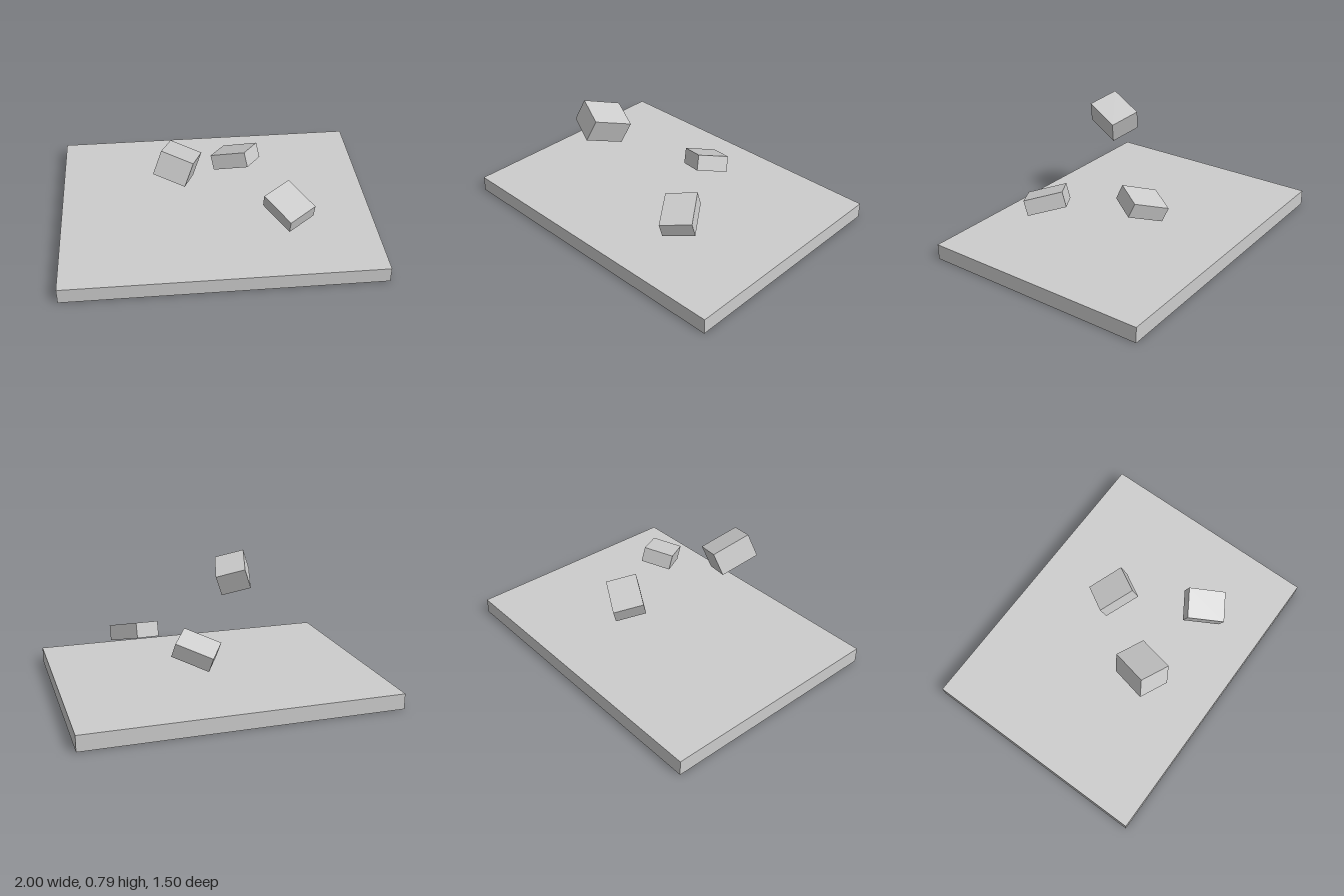
import * as THREE from 'three';

export function createModel() {
  const model = new THREE.Group();
  const grey = new THREE.MeshStandardMaterial({ color: 0xcccccc });
  grey.name = 'light grey';

  function addBox(name, size, position, rotation = [0, 0, 0]) {
    const mesh = new THREE.Mesh(new THREE.BoxGeometry(...size), grey);
    mesh.name = name;
    mesh.position.set(...position);
    mesh.rotation.set(...rotation);
    model.add(mesh);
  }

  // Flat slab on the ground
  addBox('slab', [2, 0.1, 1.5], [0, 0.05, 0]);

  // Three tumbling blocks floating above it
  addBox('highBlock', [0.2, 0.15, 0.25], [-0.25, 0.655, 0.317], [-0.346, -0.26, -0.38]);
  addBox('backBlock', [0.25, 0.1, 0.2], [0.155, 0.317, -0.197], [-0.241, -0.536, 0.225]);
  addBox('frontBlock', [0.2, 0.1, 0.25], [0.431, 0.3, 0.34], [0.313, 0.585, 0]);

  return model;
}
